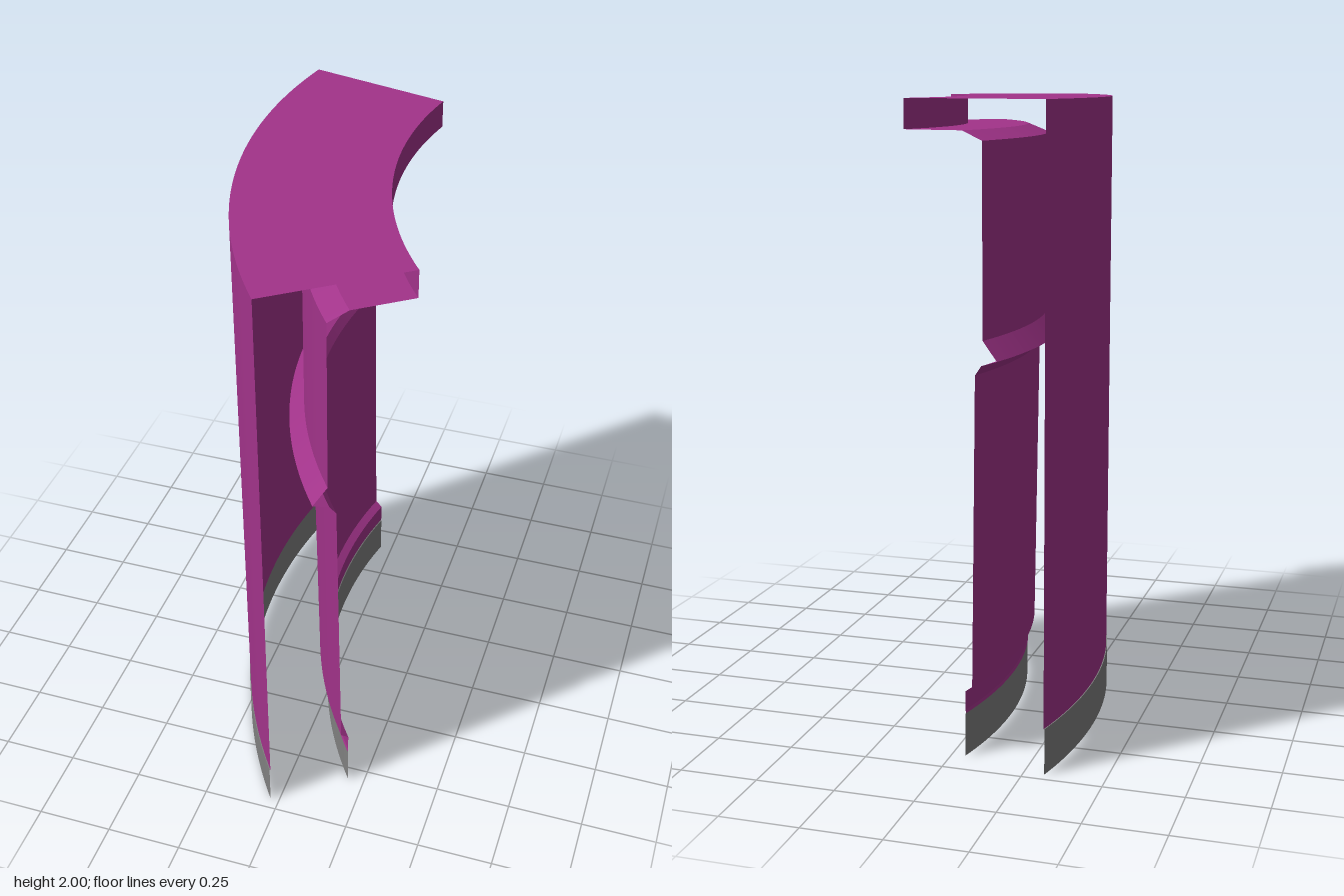
import * as THREE from 'three';
import { toCreasedNormals } from 'three/addons/utils/BufferGeometryUtils.js';

// The whole piece is a set of profiles swept round one vertical axis.
const AXIS_X = 1.379, AXIS_Z = -0.311;
const START = THREE.MathUtils.degToRad(-103.5);
const SWEEP = THREE.MathUtils.degToRad(49.5);

// Sweeps a [radius, height] profile into a curved open panel.
function sweep(name, profile, material) {
  const points = profile.map(([r, y]) => new THREE.Vector2(r, y));
  const lathe = new THREE.LatheGeometry(points, 64, START, SWEEP);
  const mesh = new THREE.Mesh(toCreasedNormals(lathe, 0.25), material);
  mesh.name = name;
  mesh.position.set(AXIS_X, 0, AXIS_Z);
  return mesh;
}

export function createModel() {
  const panel = new THREE.MeshStandardMaterial({ color: 0xa2338a, side: THREE.DoubleSide });
  const kick = new THREE.MeshStandardMaterial({ color: 0x808080, side: THREE.DoubleSide });

  const group = new THREE.Group();
  group.name = 'curvedCounter';
  group.add(
    // tall plain wall on the convex side
    sweep('outerWall', [[1.738, 0.145], [1.738, 2]], panel),
    // counter top, its lip and the sloping soffit beneath
    sweep('counterTop', [[1.738, 2], [1.263, 2], [1.263, 1.91], [1.463, 1.91], [1.53, 1.882]], panel),
    // upper panel running down into the groove
    sweep('upperInnerPanel', [[1.53, 1.882], [1.53, 1.305], [1.578, 1.247]], panel),
    // lower panel with bevelled top edge and projecting plinth
    sweep('lowerInnerPanel', [
      [1.578, 1.247], [1.525, 1.23], [1.503, 1.2], [1.488, 0.228],
      [1.463, 0.21], [1.463, 0.15], [1.466, 0.14],
    ], panel),
    // kick bands along the floor
    sweep('outerKickBand', [[1.741, 0], [1.741, 0.145], [1.738, 0.145]], kick),
    sweep('innerKickBand', [[1.466, 0.14], [1.463, 0.138], [1.463, 0]], kick),
  );
  return group;
}
